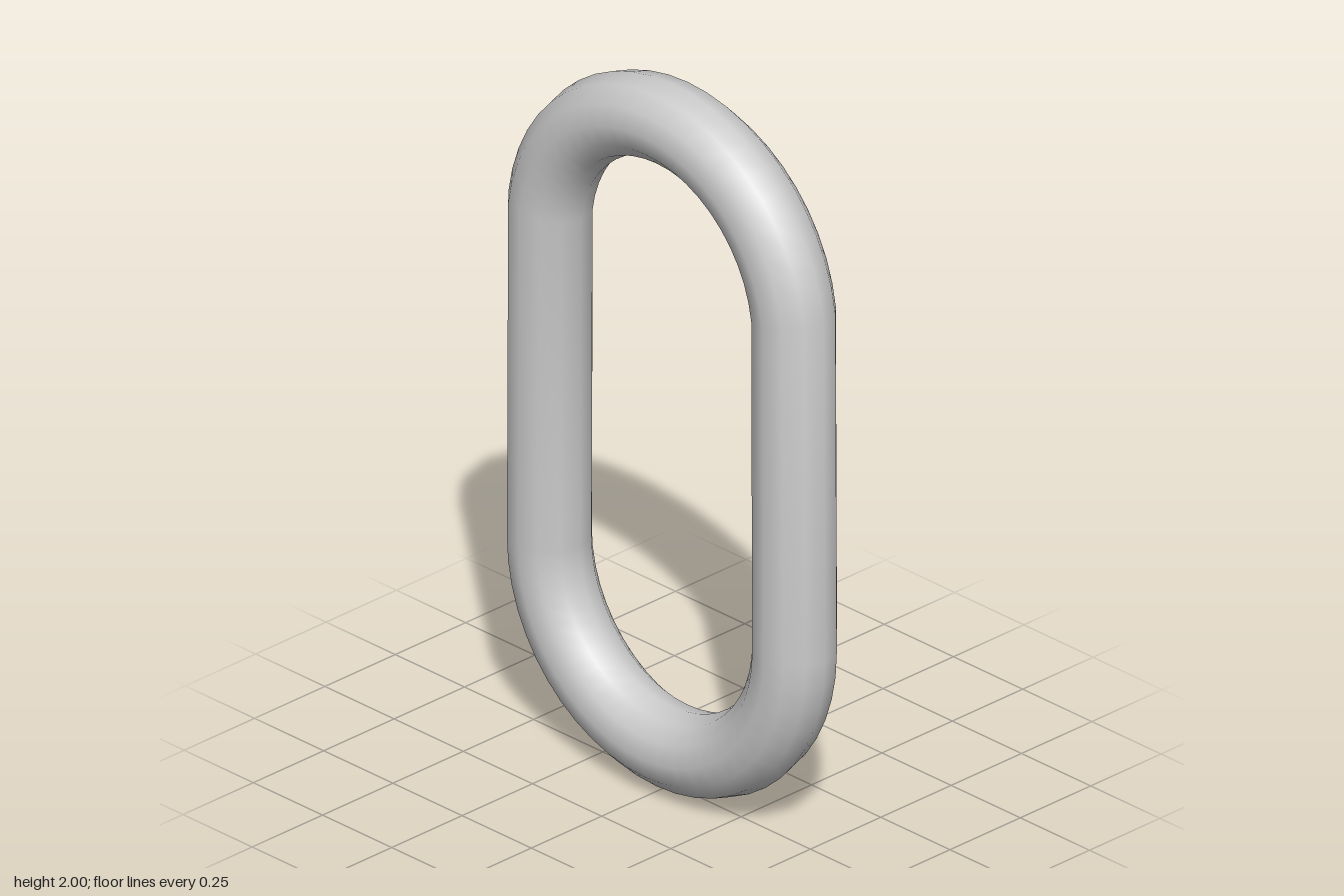
import * as THREE from 'three';

const TUBE = 0.111;             // thickness radius of the bar
const BEND = 0.443;             // centreline radius of the two bends
const HALF_WIDTH = BEND + TUBE;
const STRETCH = 2 - 2 * HALF_WIDTH; // length of the straight sides

export function createModel() {
  const group = new THREE.Group();
  group.name = 'chainLink';

  // A ring whose upper half is lifted, so one row of faces becomes the straight sides
  const geometry = new THREE.TorusGeometry(BEND, TUBE, 12, 48);
  const pos = geometry.attributes.position;
  for (let i = 0; i < pos.count; i++) {
    const y = pos.getY(i);
    pos.setY(i, y + HALF_WIDTH + (isUpperRing(i) ? STRETCH : 0));
  }
  geometry.computeBoundingSphere();

  const link = new THREE.Mesh(geometry, new THREE.MeshStandardMaterial({ color: 0xcccccc }));
  link.name = 'link';
  group.add(link);
  return group;
}

// Rings 1 to 23 of the 48 lie strictly above the middle
function isUpperRing(index) {
  const ring = index % 49;
  return ring > 0 && ring < 24;
}
